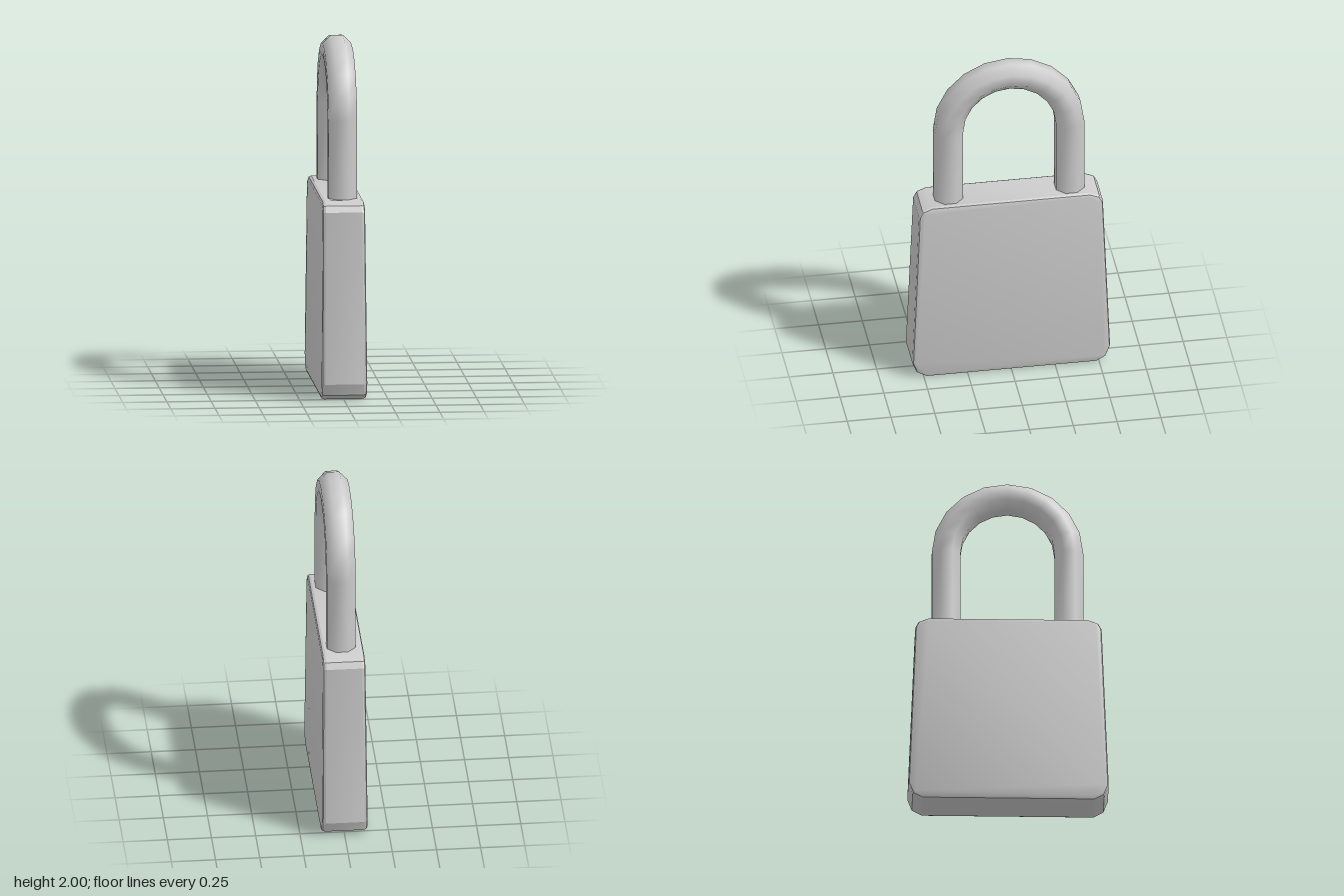
import * as THREE from 'three';
import { toCreasedNormals } from 'three/addons/utils/BufferGeometryUtils.js';

const material = new THREE.MeshStandardMaterial({ color: 0xcccccc, roughness: 0.6 });

// Tapered slab with cut corners and softened edges; profile is (z, y).
function bodyGeometry() {
  const half = [[0.485, 0], [0.54, 0.03], [0.565, 0.095], [0.525, 1.07], [0.505, 1.105], [0.45, 1.127]];
  const mirrored = half.map(([z, y]) => [-z, y]).reverse();
  const shape = new THREE.Shape([...half, ...mirrored].map(([z, y]) => new THREE.Vector2(z, y)));
  const bevel = 0.02;
  const geometry = new THREE.ExtrudeGeometry(shape, {
    depth: 0.26 - 2 * bevel, bevelThickness: bevel, bevelSize: bevel, bevelOffset: -bevel, bevelSegments: 2,
  });
  geometry.translate(0, 0, -0.13 + bevel);
  geometry.rotateY(-Math.PI / 2);

  // Thin the slab slightly towards the top.
  const pos = geometry.attributes.position;
  for (let i = 0; i < pos.count; i++) pos.setX(i, pos.getX(i) * (1 - 0.07 * pos.getY(i)));
  return toCreasedNormals(geometry, 0.4);
}

// Eight-sided bar swept up one leg, over a half circle and down the other.
function shackleGeometry() {
  const sides = 8, steps = 10, bend = 0.346, centreY = 1.573, apothem = 0.081;
  const radius = apothem / Math.cos(Math.PI / sides);
  const stations = [{ angle: 0, y: 1.09 }];
  for (let i = 0; i <= steps; i++) stations.push({ angle: Math.PI * i / steps, y: centreY });
  stations.push({ angle: Math.PI, y: 1.09 });

  const positions = [], indices = [];
  stations.forEach(({ angle, y }, i) => {
    for (let j = 0; j < sides; j++) {
      const a = (j + 0.5) / sides * Math.PI * 2;
      const reach = bend + radius * Math.cos(a);
      positions.push(radius * Math.sin(a), y + reach * Math.sin(angle), reach * Math.cos(angle));
      if (i === stations.length - 1) continue;
      const k = (j + 1) % sides, p = i * sides, q = p + sides;
      indices.push(p + j, p + k, q + k, p + j, q + k, q + j);
    }
  });
  const geometry = new THREE.BufferGeometry();
  geometry.setAttribute('position', new THREE.Float32BufferAttribute(positions, 3));
  geometry.setIndex(indices);
  geometry.computeVertexNormals();
  return geometry;
}

export function createModel() {
  const model = new THREE.Group();
  model.name = 'padlock';

  const body = new THREE.Mesh(bodyGeometry(), material);
  body.name = 'lockBody';

  const shackle = new THREE.Mesh(shackleGeometry(), material);
  shackle.name = 'shackle';
  shackle.position.set(0.005, 0, -0.003);

  model.add(body, shackle);
  return model;
}
